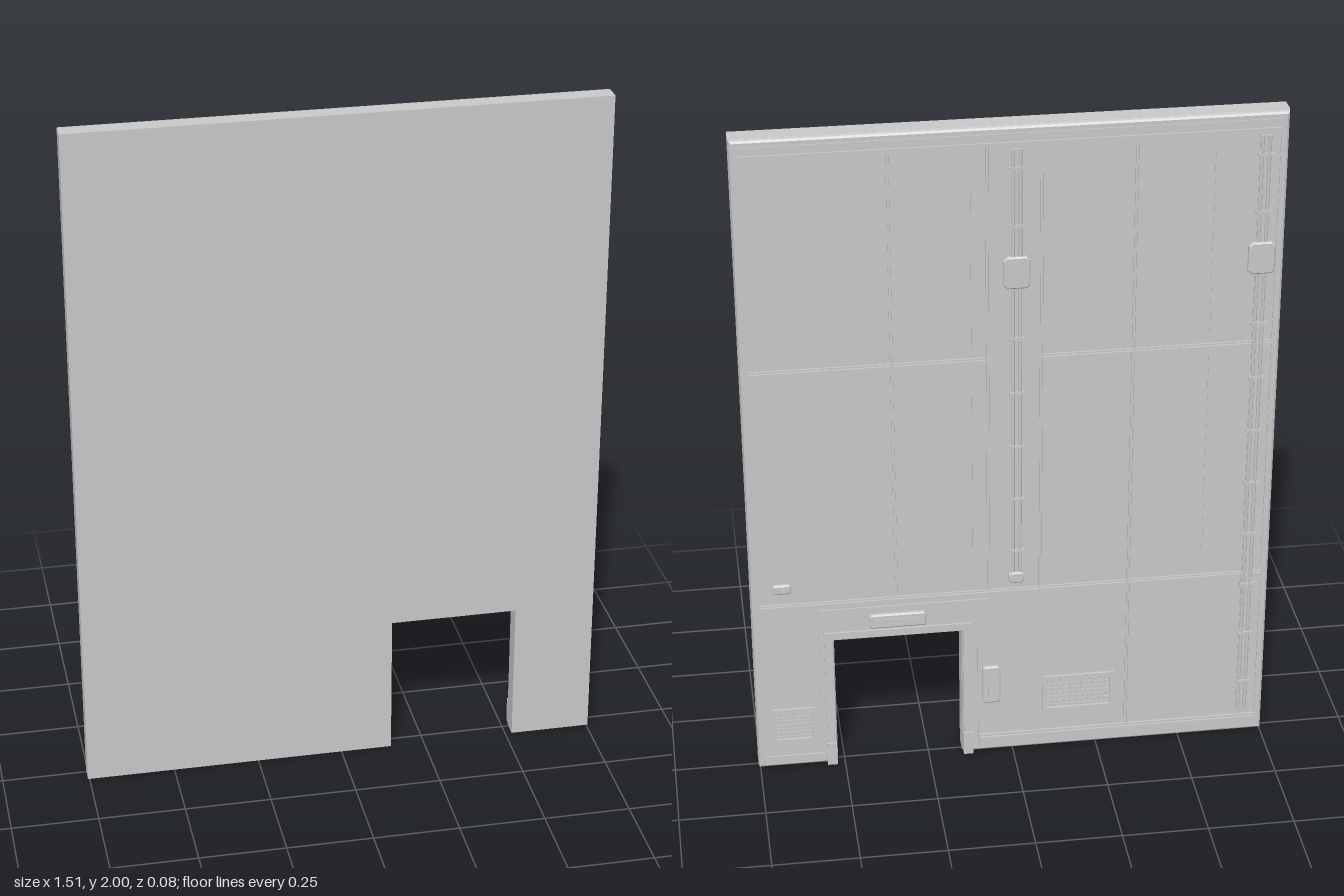
import * as THREE from 'three';

const BACK = -0.026; // z of the panelled back face

export function createModel() {
  const root = new THREE.Group();
  root.name = 'wallPanel';
  const grey = new THREE.MeshStandardMaterial({ color: 0xc8c8c8 });
  grey.name = 'lightGrey';

  const add = (name, geo, x = 0, y = 0, z = 0, parent = root) => {
    const m = new THREE.Mesh(geo, grey);
    m.name = name;
    m.position.set(x, y, z);
    parent.add(m);
    return m;
  };
  // Box standing out of the back face
  const plate = (name, x0, x1, y0, y1, d, parent = root) =>
    add(name, new THREE.BoxGeometry(x1 - x0, y1 - y0, d + 0.004),
      (x0 + x1) / 2, (y0 + y1) / 2, BACK - d / 2 + 0.002, parent);
  // Chamfered housing standing out of the back face
  const housing = (name, x, y, w, h, d, c = 0.008, parent = root) => {
    const s = new THREE.Shape();
    const a = w / 2, b = h / 2;
    s.moveTo(-a + c, -b).lineTo(a - c, -b).lineTo(a, -b + c).lineTo(a, b - c)
      .lineTo(a - c, b).lineTo(-a + c, b).lineTo(-a, b - c).lineTo(-a, -b + c);
    const g = new THREE.ExtrudeGeometry(s, {
      depth: d, bevelThickness: 0.003, bevelSize: 0.004, bevelOffset: -0.004, bevelSegments: 1,
    });
    return add(name, g, x, y, BACK - d + 0.003, parent);
  };
  const bolt = (x, y, r = 0.004) => {
    const m = add('bolt', new THREE.CylinderGeometry(r, r, 0.006, 8), x, y, BACK - 0.001);
    m.rotation.x = Math.PI / 2;
  };

  // Wall slab with the doorway cut out, and its bevelled back
  const outline = new THREE.Shape([
    [-0.755, 0], [0.15, 0], [0.15, 0.422], [0.52, 0.422], [0.52, 0],
    [0.755, 0], [0.755, 2], [-0.755, 2],
  ].map(p => new THREE.Vector2(...p)));
  add('wallSlab', new THREE.ExtrudeGeometry(outline, { depth: 0.05, bevelEnabled: false }), 0, 0, -0.01);
  add('wallBack', new THREE.ExtrudeGeometry(outline, {
    depth: 0.012, bevelThickness: 0.015, bevelSize: 0.008, bevelOffset: -0.0085, bevelSegments: 2,
  }), 0, 0, -0.011);

  // Edge trim
  plate('topTrim', -0.735, 0.735, 1.945, 1.955, 0.005);
  plate('topLip', -0.735, 0.735, 1.972, 1.98, 0.003);
  plate('leftTrim', 0.73, 0.738, 0.05, 1.95, 0.004);
  plate('rightTrim', -0.738, -0.73, 0.05, 1.95, 0.004);
  plate('rightSkirting', -0.735, 0.1, 0.012, 0.05, 0.005);
  plate('rightSkirtingLip', -0.735, 0.1, 0.055, 0.061, 0.006);
  plate('leftSkirting', 0.56, 0.735, 0.012, 0.04, 0.005);

  // Seams between the panels, each a pair of narrow ridges
  const seamV = (x, y0, y1) => [-0.004, 0.004].forEach(o =>
    plate('verticalSeam', x + o - 0.002, x + o + 0.002, y0, y1, 0.005));
  const seamH = (y, x0, x1) => [-0.004, 0.004].forEach(o =>
    plate('horizontalSeam', x0, x1, y + o - 0.002, y + o + 0.002, 0.005));
  seamV(0.335, 0.56, 1.945);
  seamV(-0.34, 0.06, 1.945);
  seamV(0.068, 0.56, 1.945);
  seamV(-0.082, 0.56, 1.945);
  for (const y of [1.31, 0.557]) {
    seamH(y, 0.068, 0.73);
    seamH(y, -0.73, -0.082);
  }
  seamH(0.557, -0.082, 0.068);
  // Slim ribs inside the panels
  for (const x of [0.113, -0.555])
    for (const [y0, y1] of [[1.35, 1.91], [0.64, 1.28]])
      plate('panelRib', x - 0.002, x + 0.002, y0, y1, 0.003);

  // Bolts at the panel corners and small rows near the top
  for (const x of [0.71, 0.358, 0.31, 0.09, -0.105, -0.315, -0.365, -0.64])
    for (const y of [1.925, 1.335, 1.285, 0.582]) bolt(x, y);
  for (const x0 of [0.345, -0.315])
    for (let i = 0; i < 4; i++) bolt(x0 + i * 0.043, 1.787, 0.003);
  bolt(0.65, 0.31);
  bolt(-0.455, 0.12);

  // Cable rails with clips and a junction box
  const rail = (x, y0, y1) => {
    const g = new THREE.Group();
    g.name = 'cableRail';
    root.add(g);
    plate('railBase', x - 0.017, x + 0.017, y0, y1, 0.003, g);
    for (const o of [-0.01, 0.01]) {
      add('cable', new THREE.CylinderGeometry(0.005, 0.005, y1 - y0, 8),
        x + o, (y0 + y1) / 2, BACK - 0.003, g);
    }
    for (let y = y0 + 0.1; y < y1; y += 0.17)
      plate('railClip', x - 0.021, x + 0.021, y - 0.004, y + 0.004, 0.009, g);
    housing('junctionBox', x, 1.572, 0.075, 0.095, 0.012, 0.01, g);
  };
  rail(-0.011, 0.59, 1.935);
  rail(-0.69, 0.08, 1.935);
  housing('railEndBox', -0.011, 0.6, 0.045, 0.035, 0.011);

  // Door surround with jambs, feet and header
  for (const [x0, x1] of [[0.525, 0.55], [0.12, 0.145]]) {
    plate('doorJamb', x0, x1, 0.01, 0.455, 0.006);
    plate('doorFoot', x0 - 0.002, x1 + 0.002, 0, 0.075, 0.011);
    for (let y = 0.13; y < 0.45; y += 0.1) bolt(x1 < 0.3 ? 0.11 : 0.557, y, 0.003);
  }
  plate('doorHeader', 0.12, 0.55, 0.432, 0.455, 0.006);
  plate('headerSeam', 0.075, 0.56, 0.528, 0.533, 0.004);
  plate('surroundSeam', 0.56, 0.565, 0.04, 0.53, 0.004);
  plate('surroundSeam', 0.098, 0.103, 0.05, 0.53, 0.004);

  // Lamp above the doorway
  housing('doorLamp', 0.335, 0.486, 0.165, 0.045, 0.012, 0.006);
  plate('lampLens', 0.272, 0.398, 0.478, 0.494, 0.014);

  // Door control box
  housing('controlBox', 0.063, 0.238, 0.052, 0.125, 0.012, 0.006);
  plate('controlButton', 0.052, 0.074, 0.258, 0.278, 0.014);
  plate('controlButton', 0.052, 0.074, 0.203, 0.228, 0.014);

  // Socket box on the left panel
  housing('socketBox', 0.665, 0.615, 0.052, 0.03, 0.01, 0.005);
  plate('socketFace', 0.653, 0.677, 0.608, 0.622, 0.012);

  // Ventilation grilles: a frame round staggered slats
  const vent = (x, y, w, h, cols) => {
    const g = new THREE.Group();
    g.name = 'ventGrille';
    root.add(g);
    const a = w / 2, b = h / 2, t = 0.01;
    plate('ventFrame', x - a, x + a, y + b - t, y + b, 0.007, g);
    plate('ventFrame', x - a, x + a, y - b, y - b + t, 0.007, g);
    plate('ventFrame', x - a, x - a + t, y - b, y + b, 0.007, g);
    plate('ventFrame', x + a - t, x + a, y - b, y + b, 0.007, g);
    const rows = 7, step = (h - 2 * t) / rows, cw = (w - 2 * t) / cols;
    for (let r = 0; r < rows; r++) {
      for (let c = 0; c < cols; c++) {
        const cx = x - a + t + (c + (r % 2 ? 0.6 : 0.4)) * cw;
        const cy = y - b + t + (r + 0.5) * step;
        plate('ventSlat', cx - cw * 0.34, cx + cw * 0.34, cy - step * 0.25, cy + step * 0.25, 0.003, g);
      }
    }
  };
  vent(0.647, 0.146, 0.125, 0.115, 7);
  vent(-0.195, 0.188, 0.21, 0.12, 11);

  return root;
}
